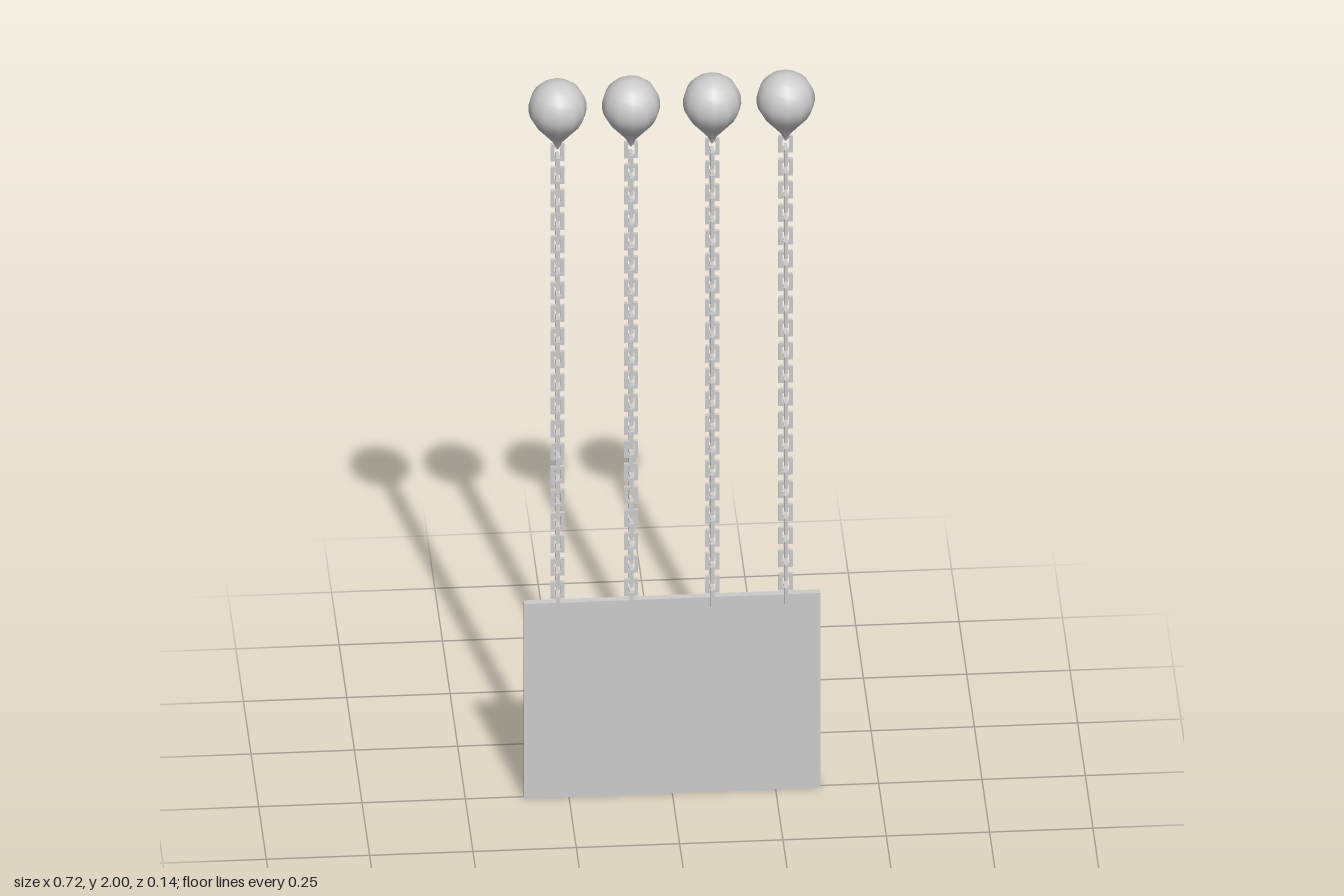
import * as THREE from 'three';

const material = new THREE.MeshStandardMaterial({ color: 0xcccccc });

// Rectangular chain link: extruded frame, centred on its own origin
function linkGeometry(width, height, thickness) {
  const rect = (path, w, h) => path
    .moveTo(-w / 2, -h / 2).lineTo(w / 2, -h / 2)
    .lineTo(w / 2, h / 2).lineTo(-w / 2, h / 2).closePath();
  const shape = new THREE.Shape();
  rect(shape, width, height);
  const hole = new THREE.Path();
  rect(hole, width - 2 * thickness, height - 2 * thickness);
  shape.holes.push(hole);
  const geometry = new THREE.ExtrudeGeometry(shape, { depth: thickness, bevelEnabled: false });
  return geometry.translate(0, 0, -thickness / 2);
}

// Round balloon narrowing to a tip, origin at the middle of the ball
function balloonGeometry(radius) {
  const profile = [[0, -0.118], [0.005, -0.112], [0.012, -0.095], [0.035, -0.068], [0.056, -0.044]]
    .map(([x, y]) => new THREE.Vector2(x, y));
  for (let i = 0; i <= 8; i++) {
    const a = -0.35 + (Math.PI / 2 + 0.35) * i / 8;
    profile.push(new THREE.Vector2(i === 8 ? 0 : radius * Math.cos(a), radius * Math.sin(a)));
  }
  return new THREE.LatheGeometry(profile, 12);
}

export function createModel() {
  const model = new THREE.Group();
  const add = (parent, name, geometry, x, y) => {
    const mesh = new THREE.Mesh(geometry, material);
    mesh.name = name;
    mesh.position.set(x, y, 0);
    parent.add(mesh);
    return mesh;
  };

  // Hanging board
  add(model, 'board', new THREE.BoxGeometry(0.717, 0.545, 0.018), 0, 0.2725);

  // Four balloons, each on a chain of links turned alternately by 90 degrees
  const link = linkGeometry(0.034, 0.046, 0.009);
  const balloon = balloonGeometry(0.071);
  const linkCount = 40, bottom = 0.545, top = 1.804;
  for (const x of [-0.277, -0.099, 0.097, 0.275]) {
    add(model, 'balloon', balloon, x, 1.929);
    const chain = new THREE.Group();
    chain.name = 'chain';
    chain.position.x = x;
    for (let i = 0; i < linkCount; i++) {
      const y = bottom + (top - bottom) * i / (linkCount - 1);
      const mesh = add(chain, 'chainLink', link, 0, y);
      if (i % 2 === 0) mesh.rotation.y = Math.PI / 2;
    }
    model.add(chain);
  }
  return model;
}
